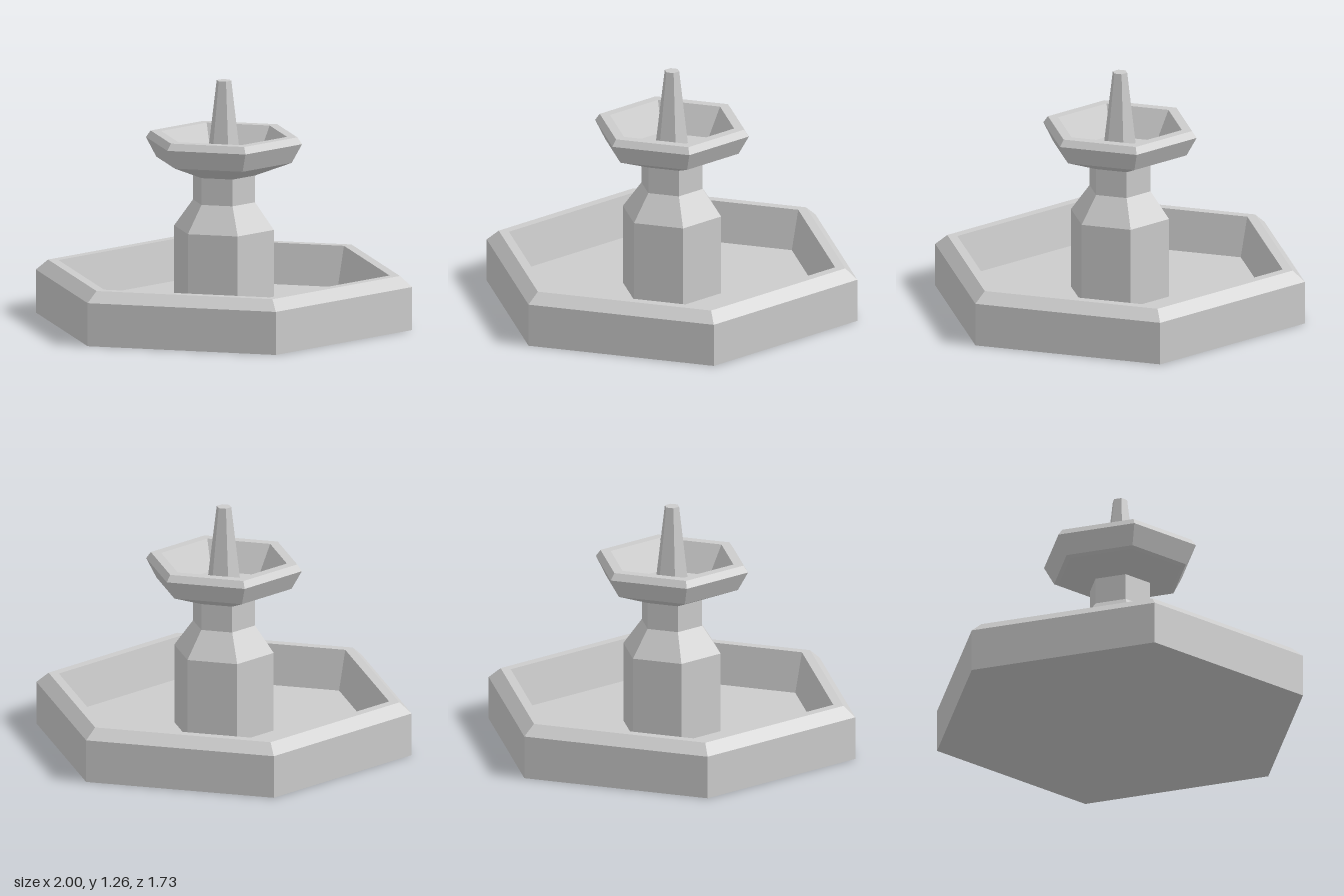
import * as THREE from 'three';
import { toCreasedNormals } from 'three/addons/utils/BufferGeometryUtils.js';

// Every part is a six-sided turned profile [radius, height] with corners on +x and -x
function hexPart(name, profile, material) {
  const points = profile.map(([r, y]) => new THREE.Vector2(r, y));
  const geometry = toCreasedNormals(new THREE.LatheGeometry(points, 6, Math.PI / 2), 0.5);
  const mesh = new THREE.Mesh(geometry, material);
  mesh.name = name;
  return mesh;
}

export function createModel() {
  const stone = new THREE.MeshStandardMaterial({ color: 0xcccccc });
  const fountain = new THREE.Group();
  fountain.name = 'fountain';

  // Wide basin with bevelled rim, sloping inner wall and sunken floor
  fountain.add(hexPart('basin', [
    [0, 0], [1, 0], [1, 0.225], [0.935, 0.28],
    [0.88, 0.28], [0.835, 0.07], [0, 0.07],
  ], stone));

  // Pedestal narrowing towards the upper bowl
  fountain.add(hexPart('pedestal', [
    [0.265, 0.07], [0.265, 0.49], [0.165, 0.63], [0.165, 0.77],
  ], stone));

  // Upper bowl, hollow
  fountain.add(hexPart('upperBowl', [
    [0, 0.77], [0.165, 0.77], [0.36, 0.845], [0.415, 0.945],
    [0.39, 0.98], [0.335, 0.98], [0.255, 0.83], [0, 0.83],
  ], stone));

  // Tapered spout standing in the bowl
  fountain.add(hexPart('spout', [
    [0.091, 0.83], [0.039, 1.26], [0, 1.26],
  ], stone));

  return fountain;
}
